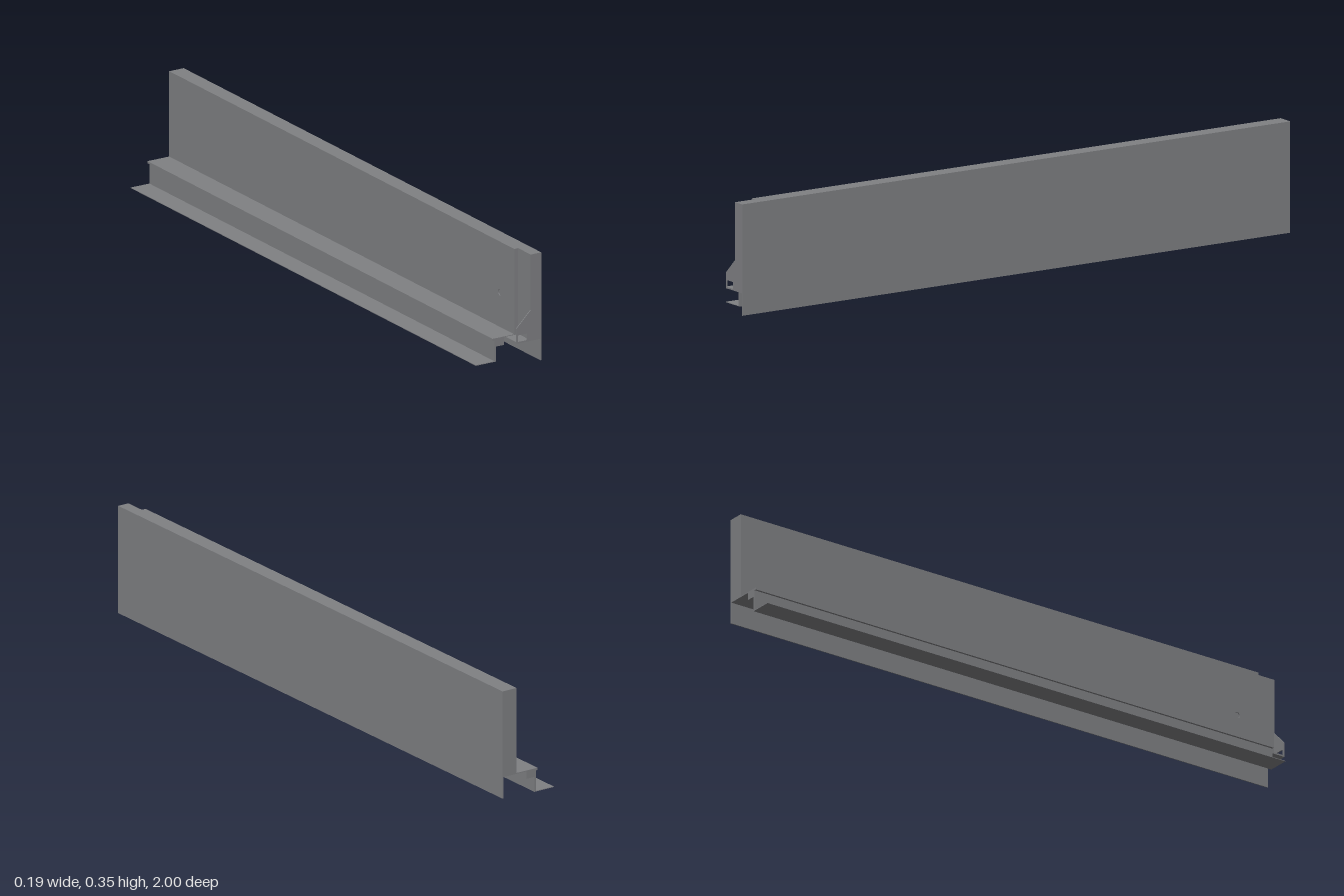
import * as THREE from 'three';

const material = new THREE.MeshStandardMaterial({ color: 0x7f8083, flatShading: true });

// Extruded outline between two z positions
function extrude(name, points, z0, z1, holes = []) {
  const shape = new THREE.Shape(points.map(([x, y]) => new THREE.Vector2(x, y)));
  holes.forEach(h => shape.holes.push(h));
  const geometry = new THREE.ExtrudeGeometry(shape, { depth: z1 - z0, bevelEnabled: false, curveSegments: 12 });
  geometry.translate(0, 0, z0);
  const mesh = new THREE.Mesh(geometry, material);
  mesh.name = name;
  return mesh;
}

// Box given by its minimum and maximum corners
function slab(name, [x0, y0, z0], [x1, y1, z1]) {
  const mesh = new THREE.Mesh(new THREE.BoxGeometry(x1 - x0, y1 - y0, z1 - z0), material);
  mesh.position.set((x0 + x1) / 2, (y0 + y1) / 2, (z0 + z1) / 2);
  mesh.name = name;
  return mesh;
}

export function createModel() {
  const group = new THREE.Group();
  group.name = 'drawerSide';
  const t = 0.003, back = -1, railEnd = 0.93, front = 1;
  const inner = 0.043, recess = 0.057, outer = 0.095, top = 0.348, deck = 0.075;

  // Hollow side wall: outer skin hangs below the closed bottom
  group.add(
    slab('outerPanel', [outer - t, t, back], [outer, top, front]),
    slab('topEdge', [inner, top - t, back], [outer - t, top, railEnd]),
    slab('frontTopEdge', [recess, top - t, railEnd], [outer - t, top, front]),
    slab('bottomEdge', [recess, deck - t, back], [outer - t, deck, front - t]),
    slab('backCap', [inner, deck, back], [outer - t, top - t, back + t]),
    slab('recessStep', [inner, deck, railEnd - t], [recess + t, top - t, railEnd]),
    slab('recessWall', [recess, deck, railEnd], [recess + t, top - t, front - t])
  );

  // Inner wall with a small adjustment hole, drawn in z/y and turned upright
  const hole = new THREE.Path().absarc(-0.85, 0.185, 0.01, 0, Math.PI * 2, true);
  const wall = extrude('innerWall', [[-railEnd, deck], [-back, deck], [-back, top - t], [-railEnd, top - t]], 0, t, [hole]);
  wall.rotation.y = Math.PI / 2;
  wall.position.x = inner;
  group.add(wall);

  // Runner: deck with a turned-down lip, channel, leg and foot flange
  group.add(
    extrude('deck', [[-0.035, 0.068], [-0.028, 0.068], [-0.028, deck - t], [recess, deck - t], [recess, deck], [-0.035, deck]], back, railEnd),
    extrude('runner', [[-0.095, 0], [-0.023, 0], [-0.023, 0.048], [0.006, 0.048], [0.006, deck - t],
      [-0.028, deck - t], [-0.028, 0.002], [-0.095, 0.002]], back, railEnd)
  );

  // Front plate with a sloped shoulder and a window, plus its shelf
  const windowPath = new THREE.Path([[0.0115, 0.077], [0.0115, 0.098], [0.044, 0.098], [0.044, 0.077]]
    .map(([x, y]) => new THREE.Vector2(x, y)));
  group.add(
    extrude('frontPlate', [[0.006, 0.072], [outer - t, 0.072], [outer - t, top - t], [recess, top - t],
      [recess, 0.17], [0.006, 0.12]], front - t, front, [windowPath]),
    slab('bracketShelf', [0.006, 0.072, 0.94], [0.052, 0.077, front - t])
  );
  return group;
}
